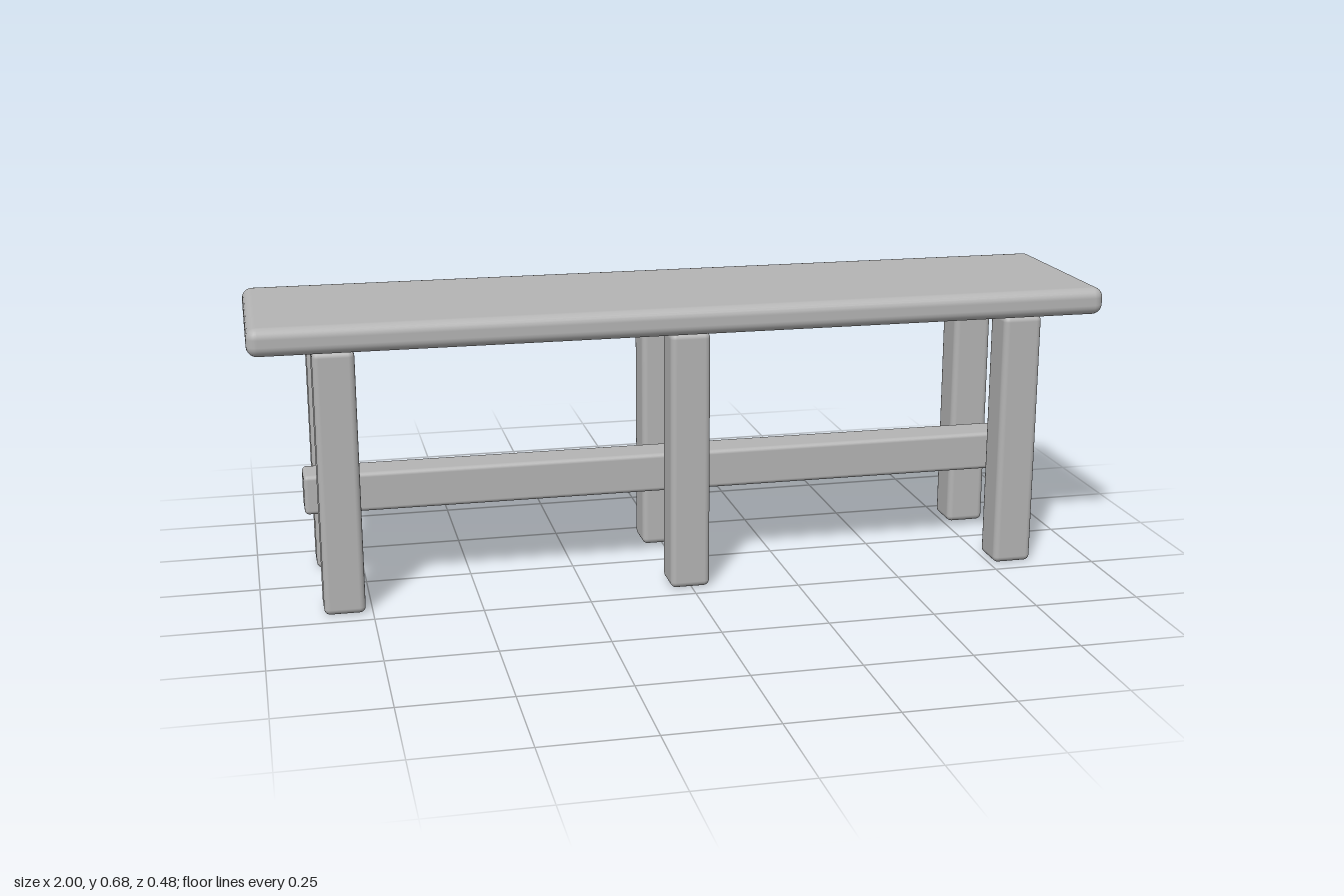
import * as THREE from 'three';
import { RoundedBoxGeometry } from 'three/addons/geometries/RoundedBoxGeometry.js';

export function createModel() {
  const bench = new THREE.Group();
  bench.name = 'bench';
  const grey = new THREE.MeshStandardMaterial({ color: 0xb4b4b4 });
  grey.name = 'plain grey';

  // Softly rounded bar, placed by its centre
  function bar(name, size, position, radius, segments = 3) {
    const mesh = new THREE.Mesh(new RoundedBoxGeometry(...size, segments, radius), grey);
    mesh.name = name;
    mesh.position.set(...position);
    bench.add(mesh);
  }

  // Seat plank
  bar('seat', [2, 0.065, 0.476], [0, 0.65, 0], 0.024);

  // Three pairs of legs
  const legHeight = 0.618;
  const columns = [['right', -0.813], ['middle', -0.003], ['left', 0.808]];
  const rows = [['front', 0.163], ['back', -0.161]];
  for (const [column, x] of columns) {
    for (const [row, z] of rows) {
      bar(`${row} ${column} leg`, [0.094, legHeight, 0.094], [x, legHeight / 2, z], 0.014);
    }
  }

  // Long stretcher running between the leg rows
  bar('stretcher', [1.77, 0.094, 0.095], [-0.002, 0.239, 0.001], 0.01);

  return bench;
}
